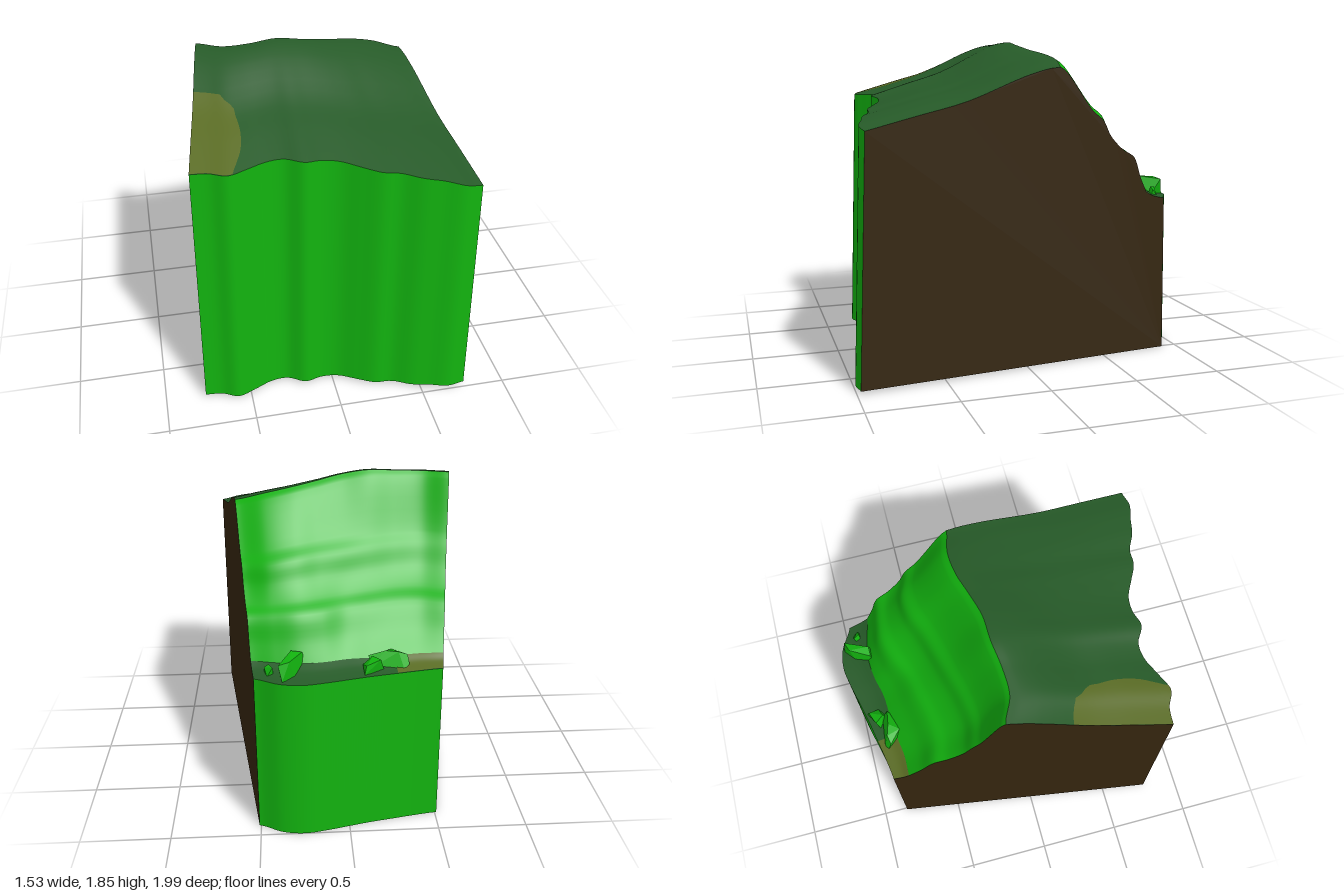
import * as THREE from 'three';
import { ConvexGeometry } from 'three/addons/geometries/ConvexGeometry.js';

const mat = (name, color) => Object.assign(new THREE.MeshStandardMaterial({ color }), { name });

// Smooth value across the width: t = 0 at the -x side, 1 at the +x side
const across = (...values) => {
  const curve = new THREE.SplineCurve(values.map((v, i) => new THREE.Vector2(i / (values.length - 1), v)));
  return t => curve.getPoint(t).y;
};

// Key lines running across the hill
const frontZ = across(.78, .79, .83, .79, .745, .74, .79, .77, .78, .83, .88, .89, .94, .965, .995, .98);
const frontY = across(1.52, 1.52, 1.525, 1.53, 1.51, 1.48, 1.455, 1.43, 1.39);
const ridgeZ = across(-.17, -.11, -.11, -.13, -.135, -.17, -.21, -.22, -.19);
const ridgeY = across(1.84, 1.835, 1.84, 1.85, 1.83, 1.8, 1.775, 1.745, 1.705);
const upperZ = across(-.35, -.32, -.34, -.38, -.42, -.46, -.51, -.52, -.47);
const upperY = across(1.45, 1.46, 1.45, 1.44, 1.4);
const lowerZ = across(-.58, -.55, -.56, -.59, -.62, -.68, -.71, -.7, -.68);
const lowerY = across(1.2, 1.21, 1.2, 1.2, 1.18);
const footZ = across(-.74, -.74, -.76, -.77, -.78, -.81, -.82, -.8, -.77);
const backZ = across(-.85, -.87, -.895, -.92, -.95, -.98, -1, -.98, -.91);

// The block widens toward the front
const point = (t, z, y) =>
  new THREE.Vector3(THREE.MathUtils.lerp(-.645 - .159 * z, .63 + .132 * z, t), y, z);

// Profile curves of one cross-section, front to back
function section(t) {
  const blend = (a, b, fz, fy, dy = 0) =>
    point(t, a[0] + (b[0] - a[0]) * fz, a[1] + (b[1] - a[1]) * fy + dy);
  const brow = [frontZ(t) - .05, frontY(t)], ridge = [ridgeZ(t), ridgeY(t)];
  const upper = [upperZ(t), upperY(t)], lower = [lowerZ(t), lowerY(t)];
  const foot = [footZ(t), .97], rim = [backZ(t) + .015, .925];
  const curve = pts => new THREE.CatmullRomCurve3(pts);
  return {
    front: curve([point(t, frontZ(t), .02), point(t, ...brow)]),
    slope: curve([[0, 0], [.25, -.01], [.5, -.02], [.8, .012], [.93, .012], [1, 0]]
      .map(([f, dy]) => blend(brow, ridge, f, f, dy))),
    cliff: curve([
      point(t, ...ridge), blend(ridge, upper, .14, .09), blend(ridge, upper, .74, .8),
      point(t, ...upper), blend(upper, lower, .24, .41), blend(upper, lower, .62, .77),
      point(t, ...lower), blend(lower, foot, .5, .55), point(t, ...foot),
    ]),
    ledge: curve([point(t, ...foot), blend(foot, rim, .4, .6), point(t, ...rim)]),
    back: curve([point(t, ...rim), point(t, backZ(t), 0)]),
    base: curve([point(t, backZ(t), 0), point(t, frontZ(t), .02)]),
  };
}

// Grid surface from a rule at(u, v); u runs to +x, v runs along the profile
function sheet(name, material, cols, rows, at) {
  const pos = [], index = [];
  for (let c = 0; c <= cols; c++) {
    for (let r = 0; r <= rows; r++) {
      pos.push(...at(c / cols, r / rows).toArray());
      if (c < cols && r < rows) {
        const a = c * (rows + 1) + r, b = a + rows + 1;
        index.push(a, b, b + 1, a, b + 1, a + 1);
      }
    }
  }
  const g = new THREE.BufferGeometry();
  g.setAttribute('position', new THREE.Float32BufferAttribute(pos, 3));
  g.setIndex(index);
  g.computeVertexNormals();
  const mesh = new THREE.Mesh(g, material);
  mesh.name = name;
  return mesh;
}

// Flat cut face closing one side
function sideWall(name, material, t, sign) {
  const s = section(t);
  const outline = [...s.front.getPoints(1), ...s.slope.getPoints(20).slice(1), ...s.cliff.getPoints(40).slice(1),
    ...s.ledge.getPoints(4).slice(1), ...s.back.getPoints(1).slice(1)];
  const g = new THREE.ShapeGeometry(new THREE.Shape(outline.map(p => new THREE.Vector2(-sign * p.z, p.y))));
  const p = g.attributes.position;
  for (let i = 0; i < p.count; i++) {
    const v = point(t, -sign * p.getX(i), p.getY(i));
    p.setXYZ(i, v.x, v.y, v.z);
  }
  g.computeVertexNormals();
  const mesh = new THREE.Mesh(g, material);
  mesh.name = name;
  return mesh;
}

// Faceted boulder: hull of a few points
function rock(name, material, pts) {
  const g = new ConvexGeometry(pts.map(p => new THREE.Vector3(...p)));
  const mesh = new THREE.Mesh(g, material);
  mesh.name = name;
  return mesh;
}

export function createModel() {
  const green = mat('bright green', 0x12b20f);
  const grass = mat('dark green', 0x265a28);
  const moss = mat('olive', 0x5a6c24);
  const earth = mat('dark brown', 0x35260f);
  const hill = new THREE.Group();
  hill.name = 'hillBlock';

  // Lofted faces
  const cols = 72;
  const sections = Array.from({ length: cols + 1 }, (_, i) => section(i / cols));
  const faces = [
    ['frontWall', 'front', green, 1], ['grassSlope', 'slope', grass, 20], ['cliffFace', 'cliff', green, 40],
    ['backLedge', 'ledge', grass, 4], ['backWall', 'back', green, 1], ['base', 'base', green, 1],
  ];
  for (const [name, key, material, rows] of faces)
    hill.add(sheet(name, material, cols, rows, (u, v) => sections[Math.round(u * cols)][key].getPoint(v)));

  // Cut side faces
  hill.add(sideWall('leftCut', earth, 1, 1), sideWall('rightCut', earth, 0, -1));

  // Olive ground patches lying just above the grass
  const patch = (name, key, reach, edge) => hill.add(sheet(name, moss, 12, 20, (u, v) => {
    const p = section(u * edge(v))[key].getPoint(v * reach);
    p.y += .004;
    return p;
  }));
  patch('slopePatch', 'slope', .47, across(.15, .165, .18, .185, .185, .18, .17, .16, .11));
  patch('ledgePatch', 'ledge', 1, across(.27, .25, .24));

  // Boulders on the ledge
  hill.add(
    rock('wideRock', green, [
      [-.33, .95, -.82], [-.32, 1, -.8], [-.25, .94, -.72], [-.24, 1.0, -.73], [-.13, .95, -.75],
      [-.11, .99, -.78], [-.2, 1.02, -.79], [-.27, 1.02, -.81], [-.3, .93, -.84], [-.12, .93, -.82],
    ]),
    rock('sideRock', green, [
      [-.19, .93, -.84], [-.17, 1.0, -.86], [-.08, .93, -.9], [-.09, .98, -.89],
      [-.075, .96, -.83], [-.13, 1.0, -.81], [-.12, .93, -.79],
    ]),
    rock('longRock', green, [
      [.23, .95, -.79], [.25, 1.03, -.8], [.3, .95, -.77], [.31, 1.04, -.8], [.37, .93, -.88],
      [.38, 1.02, -.94], [.36, .93, -.955], [.32, 1.03, -.92], [.29, .93, -.9],
    ]),
    rock('smallRock', green, [
      [.405, .93, -.87], [.41, .98, -.88], [.44, .93, -.885], [.455, .97, -.85],
      [.43, .985, -.845], [.41, .93, -.84], [.455, .93, -.84],
    ]),
  );
  return hill;
}
